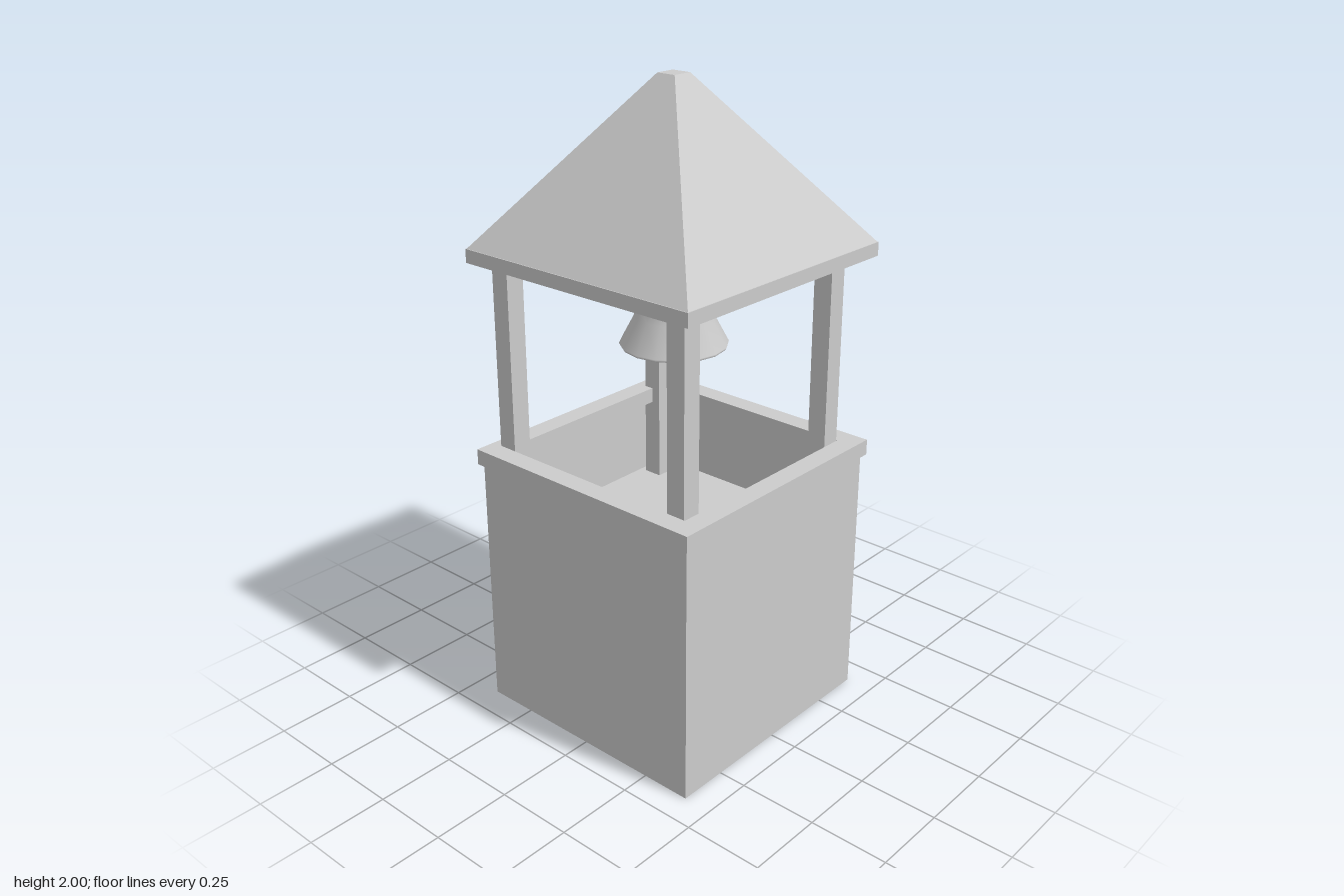
import * as THREE from 'three';

export function createModel() {
  const model = new THREE.Group();
  const flat = new THREE.MeshStandardMaterial({ color: 0xcccccc, flatShading: true, side: THREE.DoubleSide });
  const smooth = new THREE.MeshStandardMaterial({ color: 0xcccccc, side: THREE.DoubleSide });

  const add = (name, geometry, material, x = 0, y = 0, z = 0) => {
    const mesh = new THREE.Mesh(geometry, material);
    mesh.name = name;
    mesh.position.set(x, y, z);
    model.add(mesh);
    return mesh;
  };

  // Open four-sided shell between two half widths
  const shell = (top, bottom, height) =>
    new THREE.CylinderGeometry(top * Math.SQRT2, bottom * Math.SQRT2, height, 4, 1, true).rotateY(Math.PI / 4);

  // Flat horizontal square
  const plate = (half) => new THREE.PlaneGeometry(half * 2, half * 2).rotateX(-Math.PI / 2);

  // Square frame with a square opening, standing on y = 0
  const square = (h, Type) => new Type([[-h, -h], [h, -h], [h, h], [-h, h]].map(([x, y]) => new THREE.Vector2(x, y)));
  const frame = (outer, inner, height) => {
    const shape = square(outer, THREE.Shape);
    shape.holes.push(square(inner, THREE.Path));
    return new THREE.ExtrudeGeometry(shape, { depth: height, bevelEnabled: false }).rotateX(-Math.PI / 2);
  };

  // Tower base: thin walls, raised inner floor and a ledge around the top
  add('baseWalls', shell(0.41, 0.41, 0.83), flat, 0, 0.415, 0);
  add('innerFloor', plate(0.41), flat, 0, 0.56, 0);
  add('ledge', frame(0.423, 0.357, 0.05), flat, 0, 0.825, 0);

  // Corner posts, standing on the inner floor
  const postBottom = 0.56, postTop = 1.5;
  for (const x of [-0.357, 0.323]) {
    for (const z of [-0.325, 0.326]) {
      add('post', new THREE.BoxGeometry(0.062, postTop - postBottom, 0.062), flat, x, (postTop + postBottom) / 2, z);
    }
  }

  // Hollow roof on an eave frame, with a small flat top
  add('eaveFrame', frame(0.423, 0.375, 0.042), flat, 0, 1.465, 0);
  add('roof', shell(0.032, 0.422, 0.495), flat, 0, 1.7525, 0);
  add('roofCap', plate(0.032), flat, 0, 2, 0);

  // Bell and clapper, turned around a vertical axis
  const turned = (points, sides) => new THREE.LatheGeometry(points.map(([r, y]) => new THREE.Vector2(r, y)), sides);
  const bell = [[0.16, 1.2], [0.164, 1.208], [0.118, 1.295], [0.111, 1.35], [0.1, 1.425], [0.06, 1.463], [0.025, 1.476], [0, 1.478]];
  add('bell', turned(bell, 16), smooth, -0.005, 0, -0.007);
  const clapper = [[0, 1.128], [0.012, 1.134], [0.015, 1.148], [0.008, 1.175], [0.007, 1.47], [0, 1.47]];
  add('clapper', turned(clapper, 10), smooth, -0.005, 0, -0.007);

  return model;
}
